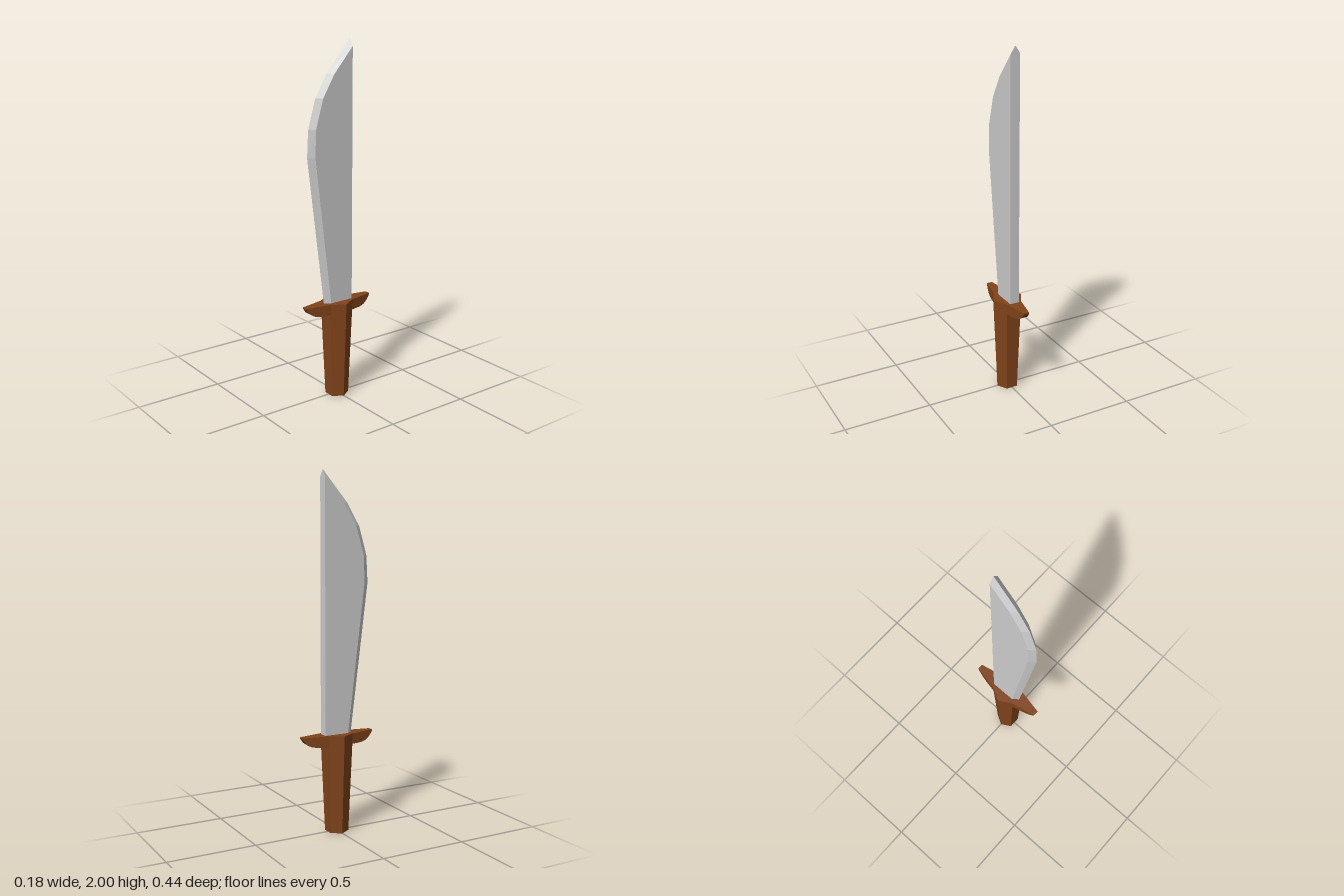
import * as THREE from 'three';

const steel = new THREE.MeshStandardMaterial({ color: 0xcccccc, flatShading: true });
const wood = new THREE.MeshStandardMaterial({ color: 0x80431a, flatShading: true });

// Skin a list of matching rings of [x, y, z] points and cap both ends
function loft(rings) {
  const pos = [];
  const same = (p, q) => p.every((v, k) => v === q[k]);
  const tri = (a, b, c) => {
    if (!same(a, b) && !same(b, c) && !same(a, c)) pos.push(...a, ...b, ...c);
  };
  const n = rings[0].length;
  for (let r = 0; r < rings.length - 1; r++) {
    const a = rings[r], b = rings[r + 1];
    for (let i = 0; i < n; i++) {
      const j = (i + 1) % n;
      tri(a[i], a[j], b[j]);
      tri(a[i], b[j], b[i]);
    }
  }
  const first = rings[0], last = rings[rings.length - 1];
  for (let i = 1; i < n - 1; i++) {
    tri(first[0], first[i + 1], first[i]);
    tri(last[0], last[i], last[i + 1]);
  }
  const geo = new THREE.BufferGeometry();
  geo.setAttribute('position', new THREE.Float32BufferAttribute(pos, 3));
  geo.computeVertexNormals();
  return geo;
}

function part(name, geo, mat) {
  const mesh = new THREE.Mesh(geo, mat);
  mesh.name = name;
  return mesh;
}

export function createModel() {
  const model = new THREE.Group();
  model.name = 'machete';

  // Blade: flat spine at the back, bevelled cutting edge at the front
  const half = 0.027, spine = -0.085;
  // [edge z, edge y, bevel z, bevel y]
  const profile = [
    [0.089, 0.55, 0.057, 0.55],
    [0.195, 1.39, 0.16, 1.39],
    [0.187, 1.54, 0.155, 1.54],
    [0.14, 1.7, 0.108, 1.7],
    [0.065, 1.825, 0.035, 1.822],
    [spine, 2, spine, 1.96],
  ];
  model.add(part('blade', loft(profile.map(([ez, ey, bz, by]) => [
    [0, ey, ez],
    [half, by, bz],
    [half, by, spine],
    [-half, by, spine],
    [-half, by, bz],
  ])), steel));

  // Grip: six-sided, widening upward
  const hex = (y, w, d) => [
    [-w / 2, y, d], [w / 2, y, d], [w, y, 0],
    [w / 2, y, -d], [-w / 2, y, -d], [-w, y, 0],
  ];
  model.add(part('grip', loft([hex(0, 0.066, 0.057), hex(0.56, 0.09, 0.078)]), wood));

  // Guard: two tapering arms with a rounded underside, [z, underside y]
  const under = [[0.07, 0.5], [0.14, 0.5], [0.172, 0.507], [0.2, 0.526], [0.22, 0.553]];
  const armGeo = loft(under.map(([z, y]) => {
    const w = THREE.MathUtils.mapLinear(z, 0.078, 0.22, 0.045, 0.016);
    return [[-w, y, z], [w, y, z], [w, 0.56, z], [-w, 0.56, z]];
  }));
  const guard = new THREE.Group();
  guard.name = 'guard';
  const front = part('frontGuardArm', armGeo, wood);
  const back = part('backGuardArm', armGeo, wood);
  back.rotation.y = Math.PI;
  guard.add(front, back);
  model.add(guard);

  return model;
}
